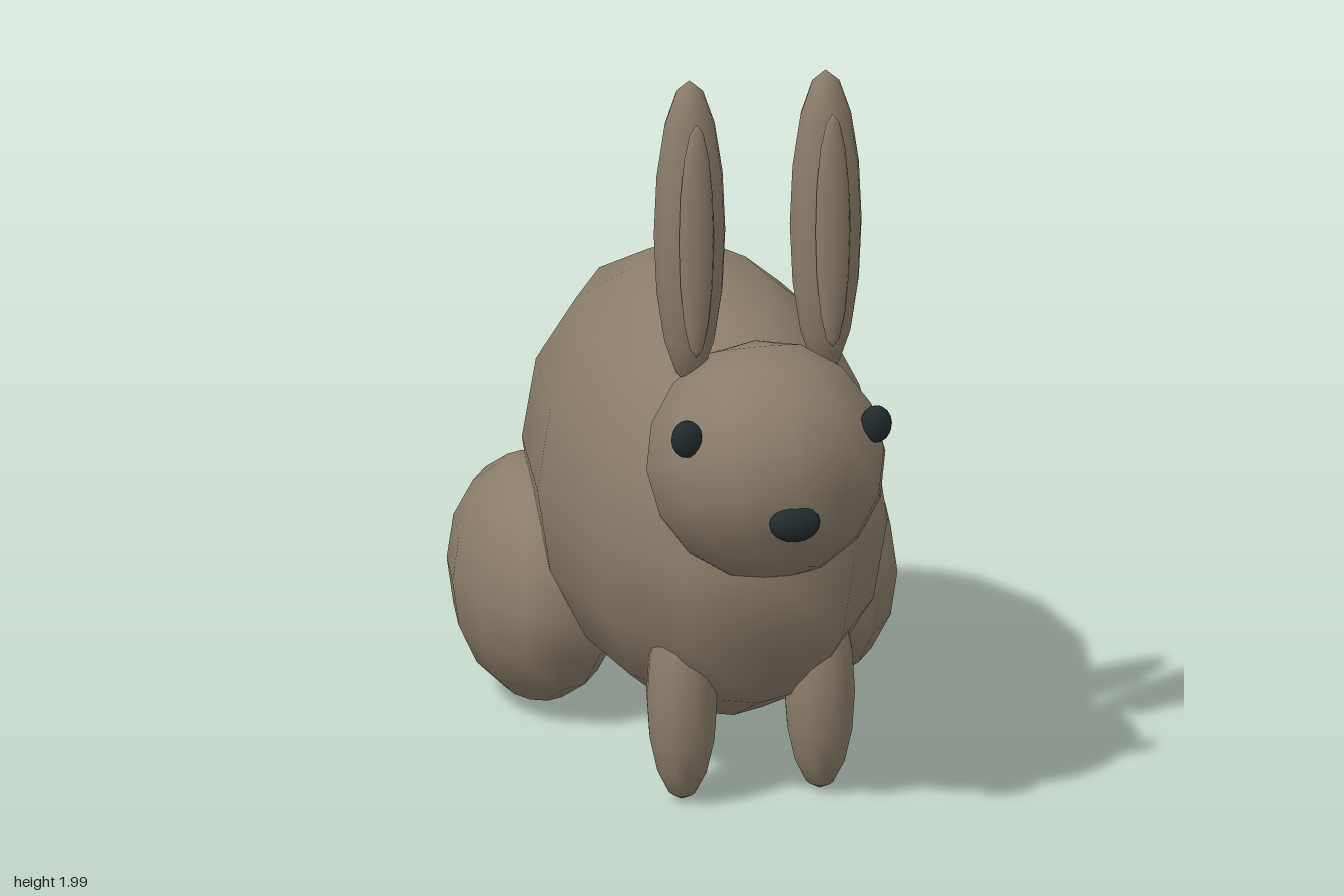
import * as THREE from 'three';

const fur = new THREE.MeshStandardMaterial({ color: 0x8b7d6b });
const dark = new THREE.MeshStandardMaterial({ color: 0x232b2e });
const cream = new THREE.MeshStandardMaterial({ color: 0xcdc8b1 });

// Low-segment, smooth-shaded ellipsoid shared by every part
const ball = new THREE.SphereGeometry(1, 12, 8);

export function createModel() {
  const rabbit = new THREE.Group();
  rabbit.name = 'rabbit';

  function ellipsoid(name, material, position, radii, tilt = 0) {
    const mesh = new THREE.Mesh(ball, material);
    mesh.name = name;
    mesh.position.set(...position);
    mesh.scale.set(...radii);
    mesh.rotation.x = tilt;
    rabbit.add(mesh);
    return mesh;
  }

  // Trunk, head and tail
  ellipsoid('body', fur, [0, 0.685, -0.043], [0.442, 0.58, 0.838]);
  ellipsoid('head', fur, [0, 0.965, 0.63], [0.316, 0.31, 0.348], -0.4);
  ellipsoid('nose', dark, [0, 0.903, 0.952], [0.068, 0.048, 0.04], -0.2);
  ellipsoid('tail', cream, [0, 0.628, -0.843], [0.15, 0.165, 0.155]);

  // Paired parts, mirrored across x
  for (const [side, s] of [['left', 1], ['right', -1]]) {
    ellipsoid(side + 'Eye', dark, [s * 0.25, 1.103, 0.803], [0.042, 0.05, 0.032]);
    ellipsoid(side + 'Ear', fur, [s * 0.18, 1.572, 0.54], [0.095, 0.413, 0.083]);
    ellipsoid(side + 'InnerEar', fur, [s * 0.18, 1.573, 0.62], [0.046, 0.318, 0.026]);
    ellipsoid(side + 'FrontLeg', fur, [s * 0.182, 0.28, 0.463], [0.092, 0.28, 0.12]);
    ellipsoid(side + 'HindLeg', fur, [s * 0.362, 0.325, -0.404], [0.218, 0.317, 0.373]);
  }

  return rabbit;
}
